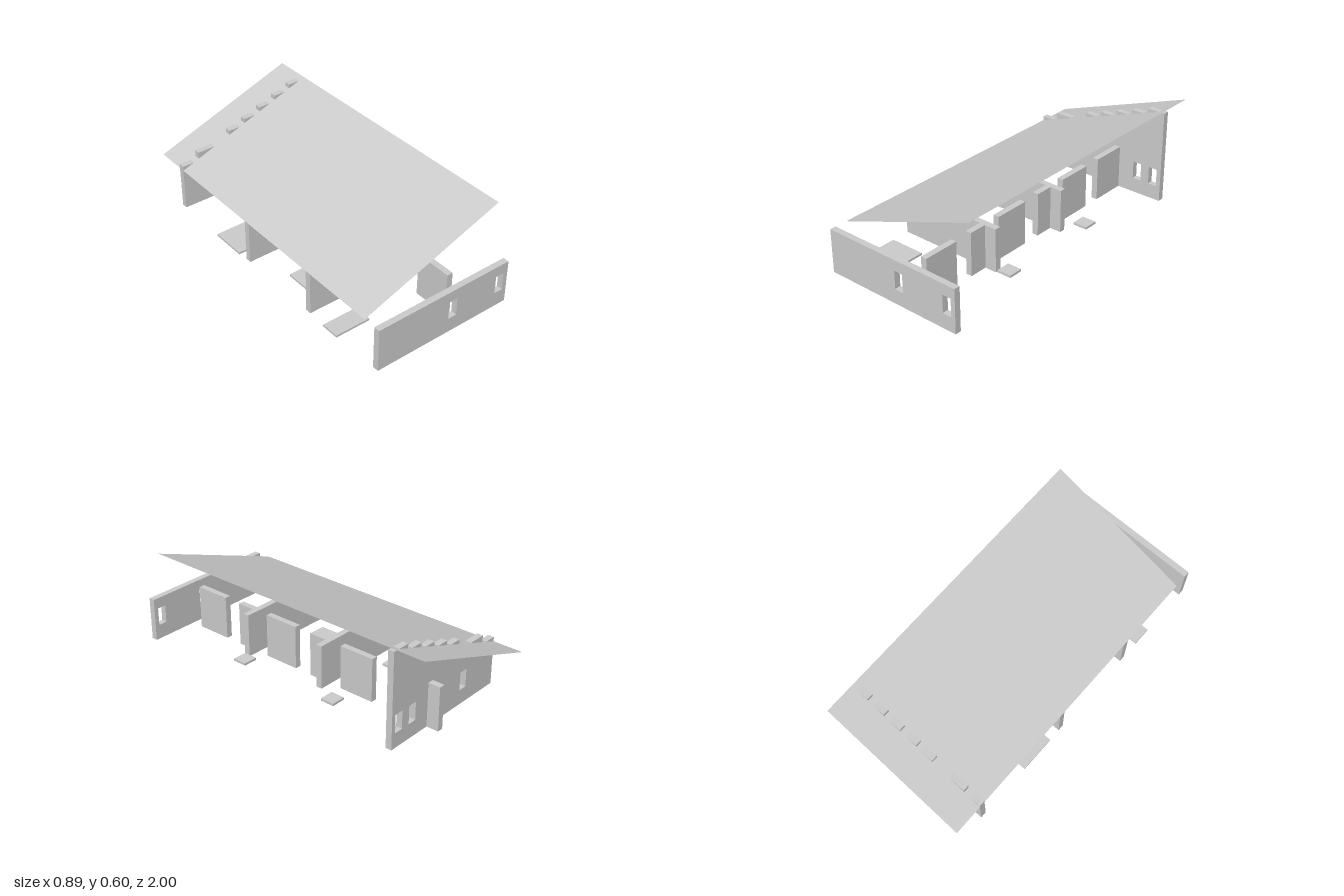
import * as THREE from 'three';

const U = 1 / 9;            // planning grid unit
const T = U / 3;            // wall thickness
const BASE = 0.0148;        // underside of the walls
const TOP = 0.28;           // top of the ordinary walls

export function createModel() {
  const model = new THREE.Group();
  model.name = 'house';
  const grey = new THREE.MeshStandardMaterial({ color: 0xcccccc });
  grey.name = 'pale grey';
  const greyOpen = new THREE.MeshStandardMaterial({ color: 0xcccccc, side: THREE.DoubleSide });
  greyOpen.name = 'pale grey sheet';

  function add(name, geometry, material = grey) {
    const mesh = new THREE.Mesh(geometry, material);
    mesh.name = name;
    model.add(mesh);
    return mesh;
  }

  // Box given by its limits on each axis
  function block(name, x0, x1, y0, y1, z0, z1) {
    add(name, new THREE.BoxGeometry(x1 - x0, y1 - y0, z1 - z0))
      .position.set((x0 + x1) / 2, (y0 + y1) / 2, (z0 + z1) / 2);
  }

  // Wall across the house with window openings, from an outline in x and y
  function windowWall(name, outline, windows, zBack) {
    const shape = new THREE.Shape(outline.map(([x, y]) => new THREE.Vector2(x, y)));
    for (const x of windows) {
      const [x0, x1, y0, y1] = [x, x + U / 2, 0.105, 0.214];
      shape.holes.push(new THREE.Path([[x0, y0], [x0, y1], [x1, y1], [x1, y0]]
        .map(([a, b]) => new THREE.Vector2(a, b))));
    }
    add(name, new THREE.ExtrudeGeometry(shape, { depth: T, bevelEnabled: false }))
      .position.z = zBack;
  }

  // Front wall
  windowWall('frontWall', [[-4 * U, BASE], [4 * U, BASE], [4 * U, TOP], [-4 * U, TOP]],
    [0.25 * U, 3.25 * U], 1 - T);

  // Back wall with a stepped top
  const steps = [0.306, 0.36, 0.319, 0.426, 0.466, 0.506, 0.546, 0.585];
  const outline = [[-4 * U, BASE], [4 * U, BASE]];
  for (let i = 7; i >= 0; i--) {
    outline.push([(i - 3) * U, steps[i]], [(i - 4) * U, steps[i]]);
  }
  windowWall('steppedBackWall', outline, [-1.75 * U, 2.25 * U, 3.25 * U], -7 * U - T);

  // Cross walls between the rooms
  for (const z of [4 * U, -U]) block('crossWall', -4 * U, 2 * U, BASE, TOP, z - T, z);

  // Wall pieces along the corridor
  for (const [z0, z1] of [[6, 8], [4, 5], [1, 3], [-1, 0], [-4, -2], [-8, -5]]) {
    block('corridorWall', U, U + T, BASE, TOP, z0 * U, z1 * U);
  }

  // Low slabs on the left-hand edge
  for (const [x0, z0, z1] of [[-4, 5, 6], [-3, 1, 3], [-4, -4, -2]]) {
    block('terraceSlab', x0 * U, -2 * U, 0, 0.0125, z0 * U, z1 * U);
  }

  // Small doorstep slabs
  for (const z of [0.394, -0.272]) {
    block('doorstep', 0.228, 0.318, BASE, 0.029, z - 0.044, z + 0.044);
  }

  // Single-pitch sheet roof, sheared to its slope
  const roof = new THREE.PlaneGeometry(8 * U, 17 * U);
  roof.rotateX(-Math.PI / 2);
  roof.translate(0, 0, -U / 2);
  const p = roof.attributes.position;
  for (let i = 0; i < p.count; i++) p.setY(i, 0.439 + 0.36 * p.getX(i));
  roof.computeVertexNormals();
  add('roof', roof, greyOpen);

  return model;
}
